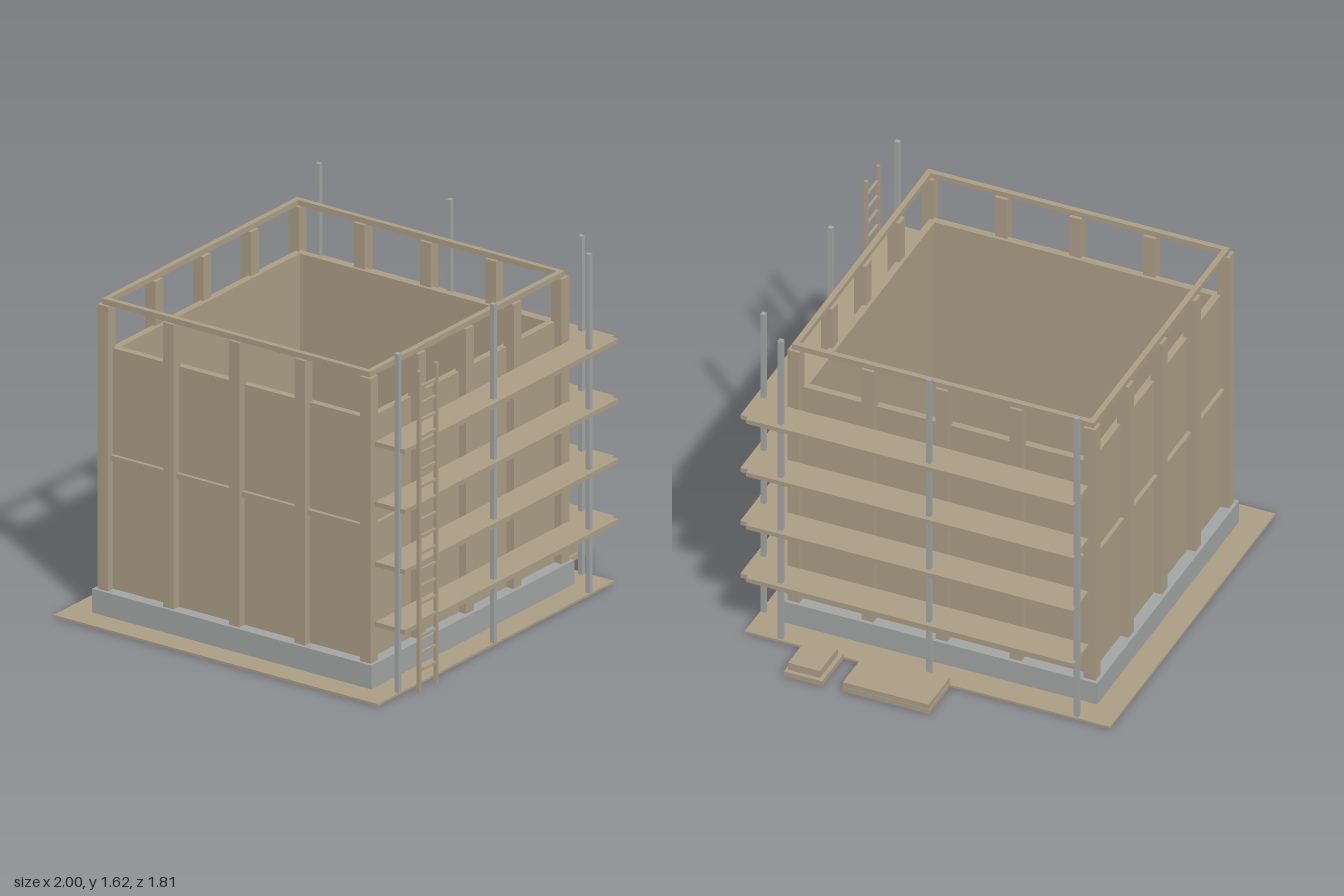
import * as THREE from 'three';

export function createModel() {
  const model = new THREE.Group();
  model.name = 'formworkTower';
  const wood = new THREE.MeshStandardMaterial({ color: 0xab9d85 });
  wood.name = 'timber';
  const grey = new THREE.MeshStandardMaterial({ color: 0xa2a3a3 });
  grey.name = 'concreteAndSteel';

  // Box given by its minimum and maximum on each axis
  function box(name, mat, [x0, x1], [y0, y1], [z0, z1], parent = model) {
    const mesh = new THREE.Mesh(new THREE.BoxGeometry(x1 - x0, y1 - y0, z1 - z0), mat);
    mesh.position.set((x0 + x1) / 2, (y0 + y1) / 2, (z0 + z1) / 2);
    mesh.name = name;
    parent.add(mesh);
    return mesh;
  }

  // Square frame lying flat, from outer and inner half widths
  function ring(name, mat, outer, inner, y0, y1, parent) {
    const square = (S, h) => {
      const s = new S();
      s.moveTo(-h, -h).lineTo(h, -h).lineTo(h, h).lineTo(-h, h).closePath();
      return s;
    };
    const shape = square(THREE.Shape, outer);
    shape.holes.push(square(THREE.Path, inner));
    const geo = new THREE.ExtrudeGeometry(shape, { depth: y1 - y0, bevelEnabled: false });
    geo.rotateX(-Math.PI / 2).translate(0, y0, 0);
    const mesh = new THREE.Mesh(geo, mat);
    mesh.name = name;
    parent.add(mesh);
  }

  // Ground sheet
  box('groundSheet', wood, [-1, 0.77], [0.001, 0.012], [-0.908, 0.853]);

  // Square enclosure: footing, walls, rails and posts share one centre
  const tower = new THREE.Group();
  tower.name = 'enclosure';
  tower.position.set(-0.12, 0, -0.028);
  model.add(tower);
  ring('footing', grey, 0.759, 0.67, 0, 0.125, tower);
  ring('wall', wood, 0.703, 0.669, 0.125, 1.267, tower);
  ring('middleRail', wood, 0.722, 0.7, 0.738, 0.764, tower);
  ring('topRail', wood, 0.728, 0.702, 1.476, 1.502, tower);

  const step = 0.357, half = 0.0285;
  for (let i = -2; i <= 2; i++) {
    for (let j = -2; j <= 2; j++) {
      if (Math.abs(i) < 2 && Math.abs(j) < 2) continue;
      const x = i * step, z = j * step;
      box('wallPost', wood, [x - half, x + half], [0.125, 1.476], [z - half, z + half], tower);
    }
  }

  // Scaffold poles along the front and the left side
  const pole = (x, z) =>
    box('scaffoldPole', grey, [x - 0.011, x + 0.011], [0, 1.62], [z - 0.011, z + 0.011]);
  for (const x of [-0.832, -0.118, 0.597]) pole(x, 0.84);
  for (const z of [-0.74, -0.027, 0.688]) pole(0.75, z);

  // Scaffold decks, four levels on two sides
  for (let i = 0; i < 4; i++) {
    const y = 0.302 + i * 0.2855;
    const level = [y - 0.011, y + 0.011];
    box('frontDeck', wood, [-0.83, 0.765], level, [0.715, 0.877]);
    box('sideDeck', wood, [0.624, 0.786], level, [-0.738, 0.84]);
  }

  // Ladder
  const ladder = new THREE.Group();
  ladder.name = 'ladder';
  model.add(ladder);
  for (const x of [-0.752, -0.623]) {
    box('ladderRail', wood, [x - 0.008, x + 0.008], [0, 1.523], [0.889, 0.905], ladder);
  }
  for (let i = 0; i < 18; i++) {
    const y = 0.1 + i * 0.079;
    box('ladderRung', wood, [-0.745, -0.63], [y - 0.006, y + 0.006], [0.891, 0.903], ladder);
  }

  // Stacked boards beside the scaffold
  box('lowerBoard', wood, [0.771, 0.999], [0.004, 0.028], [-0.139, 0.279]);
  box('upperBoard', wood, [0.775, 1], [0.03, 0.055], [-0.137, 0.277]);
  box('smallStackBase', wood, [0.771, 1], [0.004, 0.03], [0.376, 0.562]);
  box('smallStackTop', wood, [0.787, 0.98], [0.03, 0.067], [0.396, 0.55]);

  return model;
}
